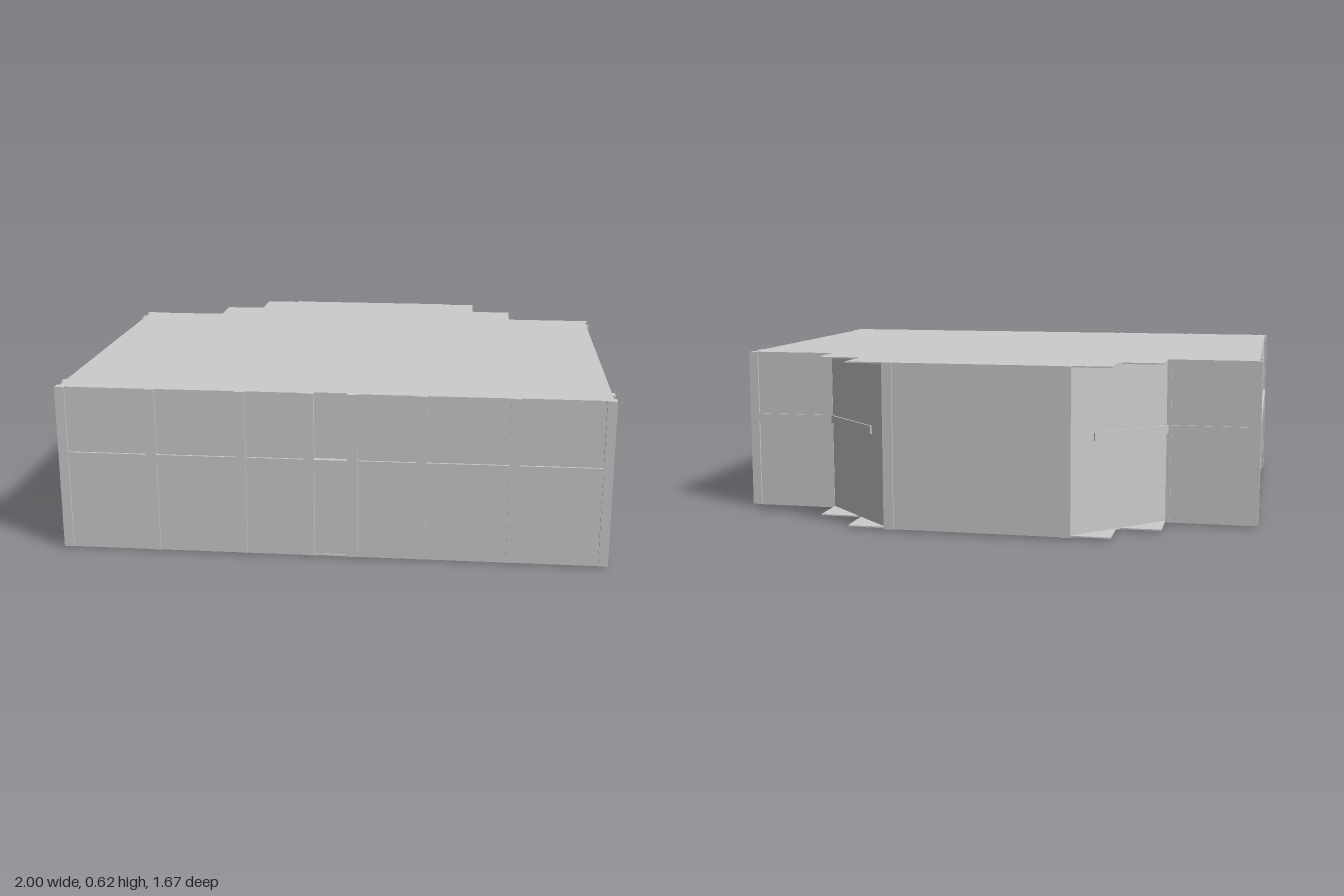
import * as THREE from 'three';

export function createModel() {
  const model = new THREE.Group();
  const grey = new THREE.MeshStandardMaterial({ color: 0xcccccc });
  grey.name = 'plain grey';

  const BASE = 0.006, TOP = 0.62;

  function add(name, geometry) {
    const mesh = new THREE.Mesh(geometry, grey);
    mesh.name = name;
    model.add(mesh);
    return mesh;
  }

  // Box given by its extents on each axis
  function block(name, x0, x1, y0, y1, z0, z1) {
    const g = new THREE.BoxGeometry(Math.abs(x1 - x0), y1 - y0, Math.abs(z1 - z0));
    g.translate((x0 + x1) / 2, (y0 + y1) / 2, (z0 + z1) / 2);
    return add(name, g);
  }

  // Upright prism over a plan that is mirrored in x; half = [x, z] from front to back
  function prism(name, half, y0, y1) {
    const plan = [...half, ...half.map(([x, z]) => [-x, z]).reverse()];
    const shape = new THREE.Shape(plan.map(([x, z]) => new THREE.Vector2(x, -z)));
    const g = new THREE.ExtrudeGeometry(shape, { depth: y1 - y0, bevelEnabled: false });
    g.rotateX(-Math.PI / 2);
    g.translate(0, y0, 0);
    return add(name, g);
  }

  // Walls, with a doorway recess in front and slanted back corners
  const front = [[0.06, 0.815], [0.06, 0.826], [0.99, 0.826], [0.99, -0.503]];
  prism('walls', [...front, [0.66, -0.503], [0.345, -0.818], [0.345, -0.83]], BASE, TOP);

  // Stepped floor and roof slabs overhang the slanted walls
  const stepped = [...front, [0.655, -0.503], [0.655, -0.66], [0.49, -0.66],
    [0.49, -0.82], [0.345, -0.82], [0.345, -0.83]];
  prism('floorSlab', stepped, BASE, BASE + 0.005);
  prism('roofSlab', stepped, TOP - 0.005, TOP);

  // Floor tiles underneath, left out at the middle of the back
  const PITCH = 0.1635;
  for (let i = 0; i < 12; i++) {
    for (let j = 0; j < 8; j++) {
      if (j === 7 && i > 2 && i < 9) continue;
      const x = -6 * PITCH + i * PITCH, z = 0.82 - j * PITCH;
      block('floorTile', x + 0.001, x + PITCH - 0.001, 0, BASE + 0.001,
        z - PITCH + 0.001, z - 0.001);
    }
  }

  // Front bands
  block('frontBand', -0.99, 0.99, 0.345, 0.375, 0.82, 0.834);
  block('doorLintel', -0.065, 0.065, 0.325, 0.375, 0.81, 0.834);

  for (const s of [-1, 1]) {
    // Front pilasters
    for (const [a, b] of [[0.06, 0.097], [0.308, 0.345], [0.635, 0.672]]) {
      block('frontPilaster', s * a, s * b, BASE, TOP, 0.81, 0.835);
    }

    // Corner posts
    block('frontCornerPost', s * 0.965, s, BASE, TOP, 0.8, 0.835);
    block('backCornerPost', s * 0.965, s, BASE, TOP, -0.51, -0.472);

    // Side pilasters and bands
    block('sidePilaster', s * 0.97, s, BASE, TOP, 0.72, 0.756);
    block('sidePilaster', s * 0.97, s, BASE, TOP, -0.426, -0.39);
    block('sideBand', s * 0.97, s * 0.999, 0.33, 0.375, -0.4, 0.73);
    block('sideBandEnd', s * 0.97, s * 0.999, 0.345, 0.375, 0.75, 0.81);
    block('sideBandEnd', s * 0.97, s * 0.999, 0.345, 0.375, -0.48, -0.42);

    // Back corner walls
    block('backInnerPost', s * 0.655, s * 0.672, BASE, TOP, -0.51, -0.49);
    block('backBand', s * 0.66, s * 0.98, 0.345, 0.375, -0.509, -0.49);

    // Back wall pilasters
    block('backPilaster', s * 0.31, s * 0.347, BASE, TOP, -0.836, -0.8);

    // Narrow band on the slanted wall
    const band = new THREE.BoxGeometry(0.34, 0.03, 0.012);
    band.rotateY(s * Math.PI * -0.25);
    band.translate(s * 0.537, 0.36, -0.627);
    add('slantedBand', band);
  }
  return model;
}
